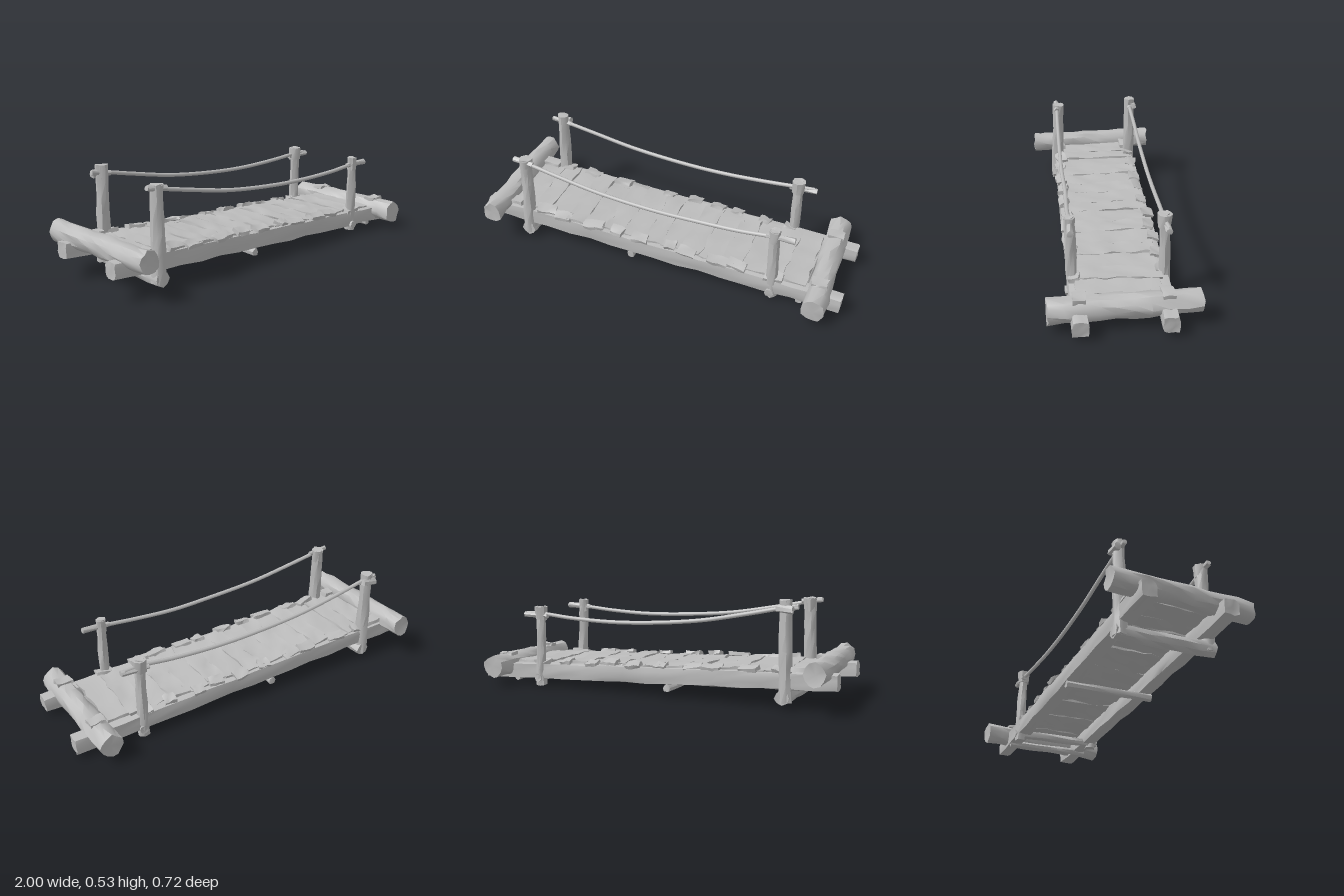
import * as THREE from 'three';
import { toCreasedNormals } from 'three/addons/utils/BufferGeometryUtils.js';

const wood = new THREE.MeshStandardMaterial({ color: 0xbcbcbc });
wood.name = 'plain wood';

// Repeatable value in -1..1
const hash = (n) => {
  const s = Math.sin(n * 127.1 + 11.7) * 43758.5453;
  return (s - Math.floor(s)) * 2 - 1;
};

// Push vertices about; shared corners move together
function roughen(geo, amount, seed) {
  const p = geo.attributes.position;
  const v = new THREE.Vector3();
  for (let i = 0; i < p.count; i++) {
    v.fromBufferAttribute(p, i);
    const k = Math.round(v.x * 1000) * 0.13 + Math.round(v.y * 1000) * 0.37 + Math.round(v.z * 1000) * 0.71 + seed;
    p.setXYZ(i, v.x + hash(k) * amount, v.y + hash(k + 5.3) * amount, v.z + hash(k + 9.1) * amount);
  }
  return toCreasedNormals(geo, 0.75);
}

function createPart(name, geo) {
  const mesh = new THREE.Mesh(geo, wood);
  mesh.name = name;
  return mesh;
}

// Rough round timber running from a to b
function log(name, a, b, r0, r1, seed, rough = 0.006, sides = 10) {
  const from = new THREE.Vector3(...a);
  const to = new THREE.Vector3(...b);
  const dir = to.clone().sub(from);
  const len = dir.length();
  const geo = new THREE.CylinderGeometry(r1, r0, len, sides, Math.max(1, Math.round(len / 0.08)));
  const mesh = createPart(name, roughen(geo, rough, seed));
  mesh.position.copy(from).add(to).multiplyScalar(0.5);
  mesh.quaternion.setFromUnitVectors(new THREE.Vector3(0, 1, 0), dir.normalize());
  return mesh;
}

// Squared timber with softened long edges and a slightly deeper middle
function squaredBeam(length, height, depth, seed) {
  const geo = new THREE.BoxGeometry(length, height, depth, 16, 3, 3);
  const p = geo.attributes.position;
  for (let i = 0; i < p.count; i++) {
    const [x, y, z] = [p.getX(i), p.getY(i), p.getZ(i)];
    const edge = Math.abs(y) > height * 0.49 && Math.abs(z) > depth * 0.49;
    const soft = edge ? 0.92 : 1;
    const deep = 1.1 - 0.2 * (x / length) ** 2 * 2;
    p.setXYZ(i, x, y * soft * deep, z * soft);
  }
  return roughen(geo, 0.004, seed);
}

export function createModel() {
  const bridge = new THREE.Group();
  bridge.name = 'logBridge';
  const slope = -0.0425;

  // Two long beams, lower toward +x
  for (const side of [1, -1]) {
    const beam = createPart(side > 0 ? 'frontBeam' : 'backBeam', squaredBeam(1.99, 0.08, 0.074, 20 + side));
    beam.position.set(0, 0.111, side * 0.201);
    beam.rotation.z = Math.atan(slope);
    bridge.add(beam);
  }

  // Heavy end logs lying across the beams
  bridge.add(log('leftEndLog', [-0.897, 0.203, 0.355], [-0.92, 0.206, -0.352], 0.054, 0.056, 3, 0.006, 12));
  bridge.add(log('rightEndLog', [0.88, 0.1, 0.343], [0.865, 0.108, -0.358], 0.06, 0.058, 4, 0.006, 12));

  // Cross rods under the beams
  const rods = [[-0.745, 0.062, 0.039, 0.25], [-0.135, 0.055, 0.02, 0.235], [0.635, 0.05, 0.024, 0.25], [0.785, 0.04, 0.019, 0.23]];
  rods.forEach(([x, y, r, half], i) => {
    bridge.add(log('crossRod', [x, y, half], [x + 0.01, y, -half], r, r * 0.95, 40 + i, 0.003, 8));
  });

  // Uneven deck planks
  const deck = new THREE.Group();
  deck.name = 'deck';
  const count = 15;
  const pitch = 1.65 / count;
  for (let i = 0; i < count; i++) {
    const x = -0.85 + (i + 0.5) * pitch;
    const high = i % 2;
    const width = pitch * ((high ? 0.96 : 1.14) + hash(i + 2) * 0.08);
    const geo = new THREE.BoxGeometry(width, 0.022, 0.425 + hash(i + 31) * 0.03, 3, 1, 8);
    const plank = createPart('plank', roughen(geo, 0.006, i * 3.7));
    plank.position.set(x, 0.15 + high * 0.006 + slope * x * 0.95 + hash(i + 60) * 0.003, hash(i + 80) * 0.01);
    plank.rotation.set(hash(i + 5) * 0.012, hash(i + 7) * 0.04, slope + hash(i + 13) * 0.04);
    deck.add(plank);
  }
  // Loose splinters along both edges
  for (let i = 0; i < 20; i++) {
    const side = i % 2 ? 1 : -1;
    const x = -0.68 + Math.floor(i / 2) * 0.145 + hash(i + 3) * 0.04;
    const geo = new THREE.BoxGeometry(0.08 + hash(i + 9) * 0.03, 0.02, 0.055, 3, 1, 2);
    const chip = createPart('splinter', roughen(geo, 0.005, i + 200));
    chip.position.set(x, 0.163 + slope * x + hash(i + 17) * 0.006, side * (0.21 + hash(i + 19) * 0.01));
    chip.rotation.set(side * 0.25, hash(i + 23) * 0.2, slope + hash(i + 29) * 0.15);
    deck.add(chip);
  }
  bridge.add(deck);

  // Bark strips where the beams meet the end logs
  const strips = [[-0.83, 0.207, 0.2, 0.09], [-0.82, 0.205, -0.2, 0.1], [0.875, 0.16, 0.2, 0.08], [0.87, 0.16, -0.2, 0.08]];
  strips.forEach(([x, y, z, len], i) => {
    const strip = createPart('barkStrip', roughen(new THREE.BoxGeometry(len, 0.018, 0.06, 3, 1, 2), 0.005, 300 + i));
    strip.position.set(x, y, z);
    strip.rotation.z = slope;
    bridge.add(strip);
  });

  // Posts, each with a thicker head: name, foot, top, radius, head radius
  const posts = [
    ['frontLeftPost', [-0.745, 0.04, 0.22], [-0.738, 0.505, 0.209], 0.037, 0.035],
    ['backLeftPost', [-0.745, 0.04, -0.222], [-0.738, 0.527, -0.222], 0.035, 0.029],
    ['frontRightPost', [0.64, 0.02, 0.217], [0.634, 0.44, 0.224], 0.028, 0.027],
    ['backRightPost', [0.638, 0.008, -0.225], [0.636, 0.438, -0.217], 0.028, 0.035],
  ];
  posts.forEach(([name, a, b, r, head], i) => {
    bridge.add(log(name, a, b, r, r * 0.85, 70 + i, 0.004, 9));
    bridge.add(log('postHead', [b[0], b[1] - 0.07, b[2]], [b[0], b[1] - 0.002, b[2]], head * 0.9, head, 90 + i, 0.003, 9));
  });
  // Knot on the tallest post
  bridge.add(log('postKnot', [-0.78, 0.482, -0.245], [-0.7, 0.49, -0.243], 0.02, 0.018, 99, 0.004, 7));

  // Sagging hand ropes with pegs through the posts
  const sag = [[-0.8, 0.495], [-0.72, 0.483], [-0.55, 0.45], [-0.3, 0.407], [0, 0.382], [0.22, 0.376], [0.45, 0.385], [0.63, 0.4], [0.72, 0.4]];
  for (const side of [1, -1]) {
    const rise = side > 0 ? -0.003 : 0.008;
    const end = side > 0 ? 0.403 : 0.392;
    const path = new THREE.CatmullRomCurve3(sag.map(([x, y], i) =>
      new THREE.Vector3(x, y + rise * Math.max(0, -x), side * (0.222 + hash(i + side * 4) * 0.004))));
    bridge.add(createPart(side > 0 ? 'frontRope' : 'backRope', new THREE.TubeGeometry(path, 48, 0.0105, 7)));
    bridge.add(log('ropePeg', [-0.8, 0.498, side * 0.22], [-0.69, 0.482, side * 0.22], 0.013, 0.013, 120 + side, 0.002, 8));
    bridge.add(log('ropePeg', [0.59, end - 0.004, side * 0.224], [0.735, end, side * 0.224], 0.013, 0.016, 130 + side, 0.002, 8));
  }
  return bridge;
}
